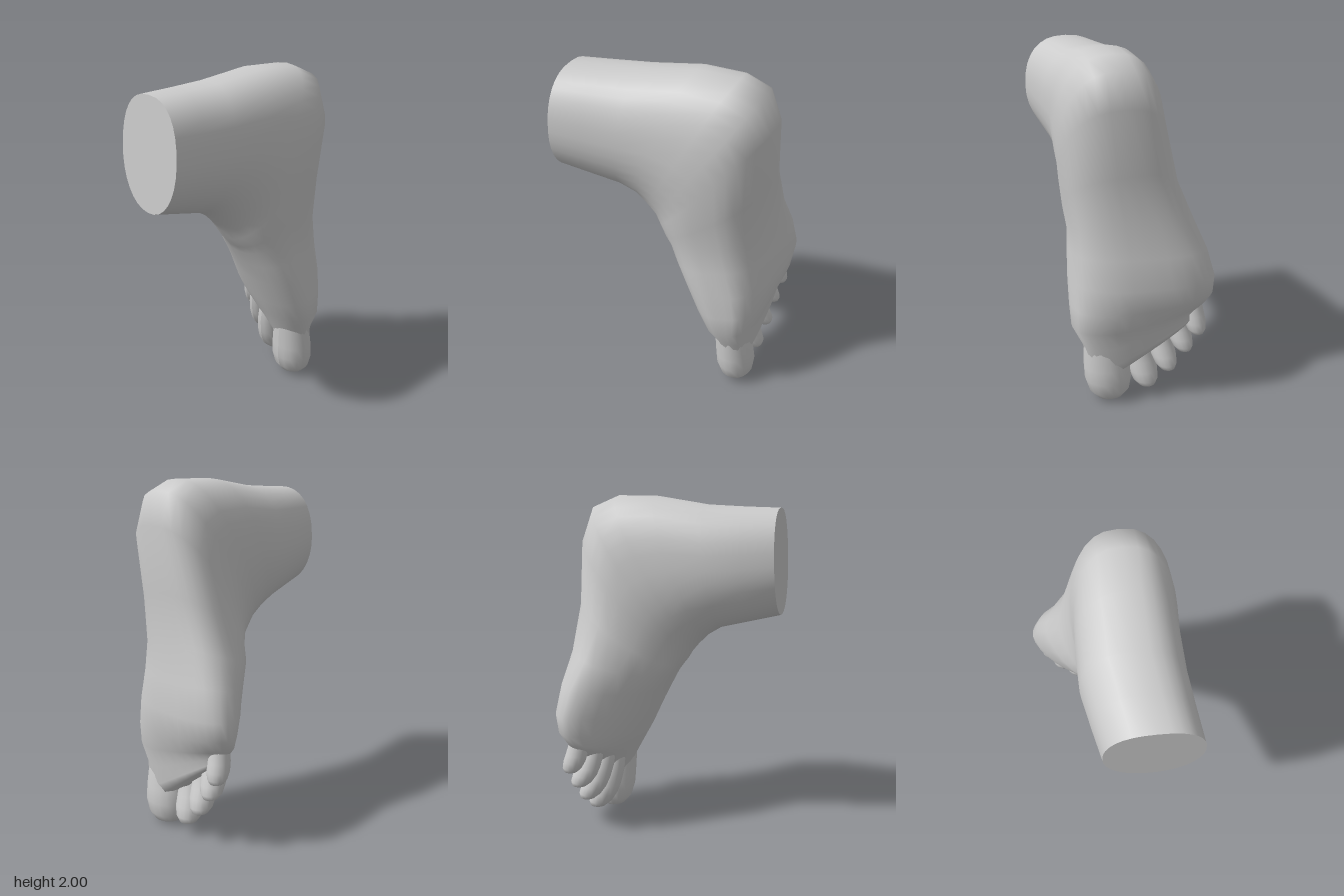
import * as THREE from 'three';

const SEG = 32;
const material = new THREE.MeshStandardMaterial({ color: 0xcccccc });

// Cross-sections fan around the ankle from the shin to the toe webbing:
// front z, y | back z, y | x min, x max | widest level | ridge shift | sole tilt | toe slant
const SECTIONS = [
  [0.62, 1.33, 0.59, 1.94, -0.085, 0.43],
  [0.45, 1.29, 0.4, 1.945, -0.125, 0.41],
  [0.28, 1.25, 0.18, 1.955, -0.165, 0.39],
  [0.2, 1.2, -0.12, 2.0, -0.17, 0.38],
  [0.14, 1.14, -0.36, 2.0, -0.165, 0.39],
  [0.1, 1.09, -0.5, 1.94, -0.175, 0.39],
  [0.07, 1.04, -0.56, 1.76, -0.19, 0.385, 0.47, 0.02],
  [0.03, 0.99, -0.545, 1.4, -0.25, 0.36, 0.45, 0.05, 0.03],
  [0.0, 0.95, -0.56, 1.12, -0.335, 0.335, 0.4, 0.08, 0.06],
  [-0.05, 0.86, -0.595, 0.94, -0.395, 0.335, 0.37, 0.11, 0.09],
  [-0.11, 0.74, -0.62, 0.76, -0.435, 0.34, 0.36, 0.13, 0.09, 0.02],
  [-0.18, 0.58, -0.605, 0.61, -0.43, 0.347, 0.37, 0.12, 0.07, 0.1],
  [-0.24, 0.46, -0.565, 0.48, -0.4, 0.35, 0.4, 0.1, 0.03, 0.22],
  [-0.29, 0.35, -0.535, 0.36, -0.375, 0.3, 0.43, 0.07, 0, 0.4],
  [-0.335, 0.25, -0.53, 0.25, -0.35, 0.285, 0.45, 0.04, 0, 0.57],
  [-0.37, 0.18, -0.51, 0.18, -0.325, 0.25, 0.45, 0.02, 0, 0.69],
];

const softPow = (v, p) => Math.sign(v) * Math.abs(v) ** p;

function sectionPoint([fz, fy, bz, by, x0, x1, level = 0.5, ridge = 0, tilt = 0, slant = 0], j) {
  const t = (j / SEG) * Math.PI * 2;
  const c = Math.cos(t), s = Math.sin(t);
  const front = s > 0;
  // The back is fuller than the rounded front
  const cx = front ? softPow(c, 0.92) : softPow(c, 0.8);
  const sy = front ? s : softPow(s, 0.85);
  const v = level + (front ? (1 - level) * sy : level * sy) + tilt * cx;
  const x = (x0 + x1) / 2 + ((x1 - x0) / 2) * cx + (front ? ridge * s : 0);
  // Toe line climbs toward the little toe, and the forefoot leans back there
  const rise = slant * Math.max(0.15 - x, 0);
  return [x, by + (fy - by) * v + rise, bz + (fz - bz) * v - 0.15 * rise];
}

function footGeometry() {
  const pos = [], index = [];
  SECTIONS.forEach((sec, i) => {
    for (let j = 0; j < SEG; j++) {
      pos.push(...sectionPoint(sec, j));
      if (i === SECTIONS.length - 1) continue;
      const k = (j + 1) % SEG;
      const a = i * SEG + j, b = i * SEG + k;
      index.push(a, b, a + SEG, b, b + SEG, a + SEG);
    }
  });
  // Webbing between the toes
  const last = (SECTIONS.length - 1) * SEG, tip = pos.length / 3;
  pos.push(-0.03, 0.27, -0.46);
  for (let j = 0; j < SEG; j++) index.push(last + j, last + ((j + 1) % SEG), tip);
  return finish(pos, index);
}

function capGeometry() {
  const pos = [0.17, 1.635, 0.605], index = [];
  for (let j = 0; j < SEG; j++) {
    pos.push(...sectionPoint(SECTIONS[0], j));
    index.push(0, 1 + ((j + 1) % SEG), 1 + j);
  }
  return finish(pos, index);
}

function finish(pos, index) {
  const g = new THREE.BufferGeometry();
  g.setAttribute('position', new THREE.Float32BufferAttribute(pos, 3));
  g.setIndex(index);
  g.computeVertexNormals();
  return g;
}

// Toe: tapered root, swollen pad and blunt end, bent toward the sole
const TOE_PROFILE = [[0, 0], [0.5, 0.04], [0.78, 0.2], [0.9, 0.45], [0.98, 0.65],
  [1, 0.78], [0.87, 0.9], [0.6, 0.97], [0.3, 0.995], [0, 1]];

function makeToe(name, base, tip, halfWidth, halfDepth, curl) {
  const from = new THREE.Vector3(...base), dir = new THREE.Vector3(...tip).sub(from);
  const g = new THREE.LatheGeometry(TOE_PROFILE.map(([r, y]) => new THREE.Vector2(r, 1 - y)).reverse(), 18);
  const p = g.attributes.position;
  for (let i = 0; i < p.count; i++) {
    const t = 1 - p.getY(i);
    p.setXYZ(i,
      from.x + dir.x * t + p.getX(i) * halfWidth,
      from.y + dir.y * t,
      from.z + dir.z * t + p.getZ(i) * halfDepth + curl * Math.sin(Math.PI * t));
  }
  g.computeVertexNormals();
  const mesh = new THREE.Mesh(g, material);
  mesh.name = name;
  return mesh;
}

export function createModel() {
  const group = new THREE.Group();
  group.name = 'foot';

  const foot = new THREE.Mesh(footGeometry(), material);
  foot.name = 'ankleHeelAndInstep';
  const cap = new THREE.Mesh(capGeometry(), material);
  cap.name = 'shinCutFace';
  group.add(foot, cap);

  // Toes from inner to outer
  const toes = new THREE.Group();
  toes.name = 'toes';
  toes.add(
    makeToe('bigToe', [0.2, 0.62, -0.36], [0.155, 0, -0.44], 0.138, 0.115, -0.01),
    makeToe('secondToe', [0.02, 0.52, -0.37], [-0.06, 0.065, -0.48], 0.086, 0.085, 0.03),
    makeToe('thirdToe', [-0.1, 0.58, -0.38], [-0.18, 0.165, -0.5], 0.074, 0.078, 0.03),
    makeToe('fourthToe', [-0.2, 0.65, -0.42], [-0.275, 0.285, -0.51], 0.068, 0.074, 0.03),
    makeToe('littleToe', [-0.3, 0.74, -0.47], [-0.342, 0.4, -0.53], 0.062, 0.066, 0.02),
  );
  group.add(toes);
  return group;
}
